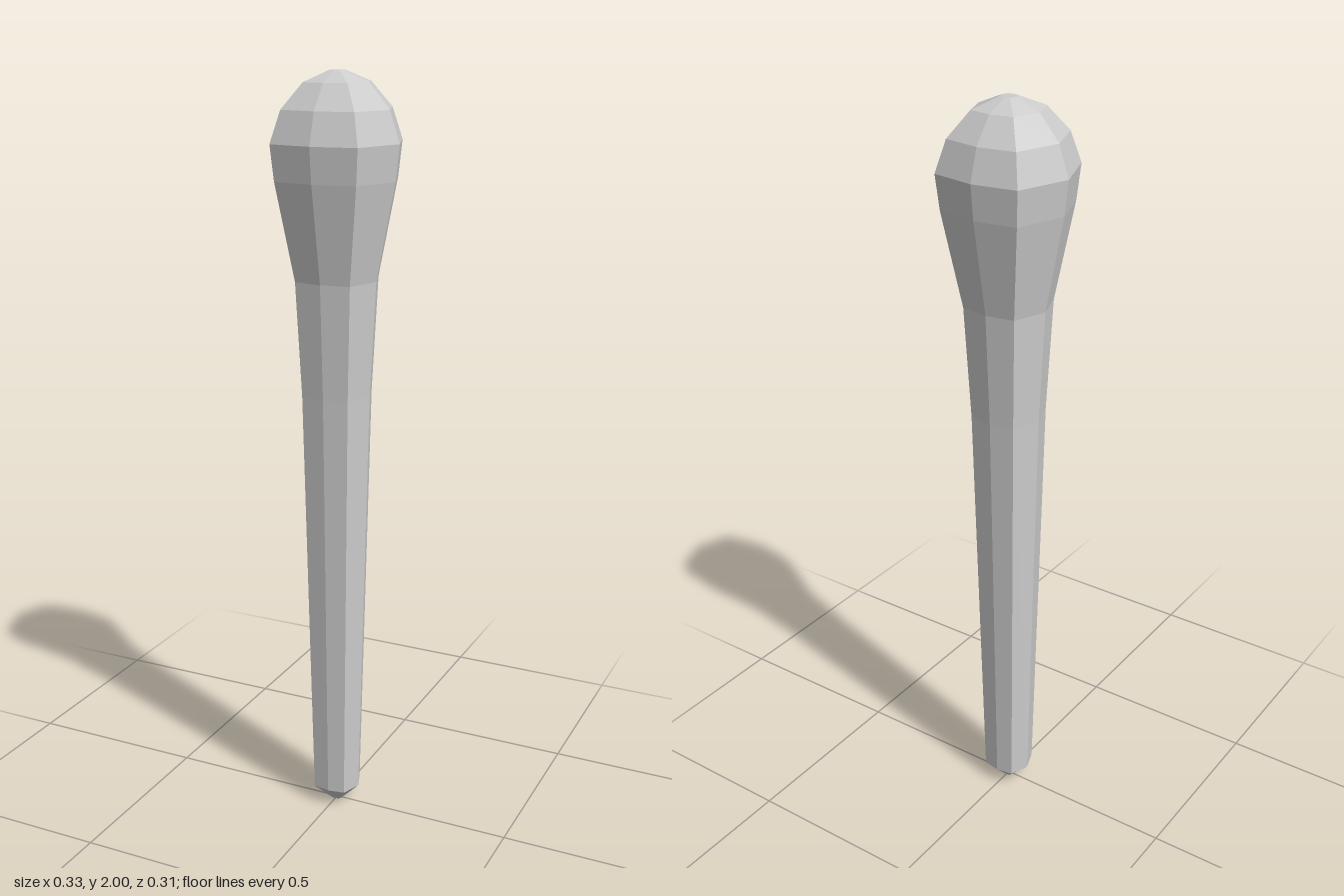
import * as THREE from 'three';

// Profile of the club: [radius, height] from the pointed foot to the crown
const PROFILE = [
  [0, 0], [0.015, 0], [0.065, 0.05], [0.092, 1.19], [0.108, 1.49],
  [0.157, 1.74], [0.167, 1.83], [0.14, 1.91], [0.085, 1.973], [0.021, 2], [0, 2],
];

// Eight-sided turned body, squashed into a slightly squarish octagon
function clubGeometry() {
  const geometry = new THREE.LatheGeometry(PROFILE.map(([r, y]) => new THREE.Vector2(r, y)), 8);
  const p = geometry.attributes.position;
  for (let i = 0; i < p.count; i++) {
    const x = p.getX(i), z = p.getZ(i);
    const corner = Math.abs(x) > 1e-4 && Math.abs(z) > 1e-4;
    p.setX(i, x * (corner ? 0.99 : 1));
    p.setZ(i, z * (corner ? 1.153 : 0.93));
  }
  geometry.computeVertexNormals();
  return geometry;
}

export function createModel() {
  const group = new THREE.Group();
  group.name = 'club';
  const material = new THREE.MeshStandardMaterial({ color: 0xcccccc, flatShading: true });
  const body = new THREE.Mesh(clubGeometry(), material);
  body.name = 'clubBody';
  group.add(body);
  return group;
}
